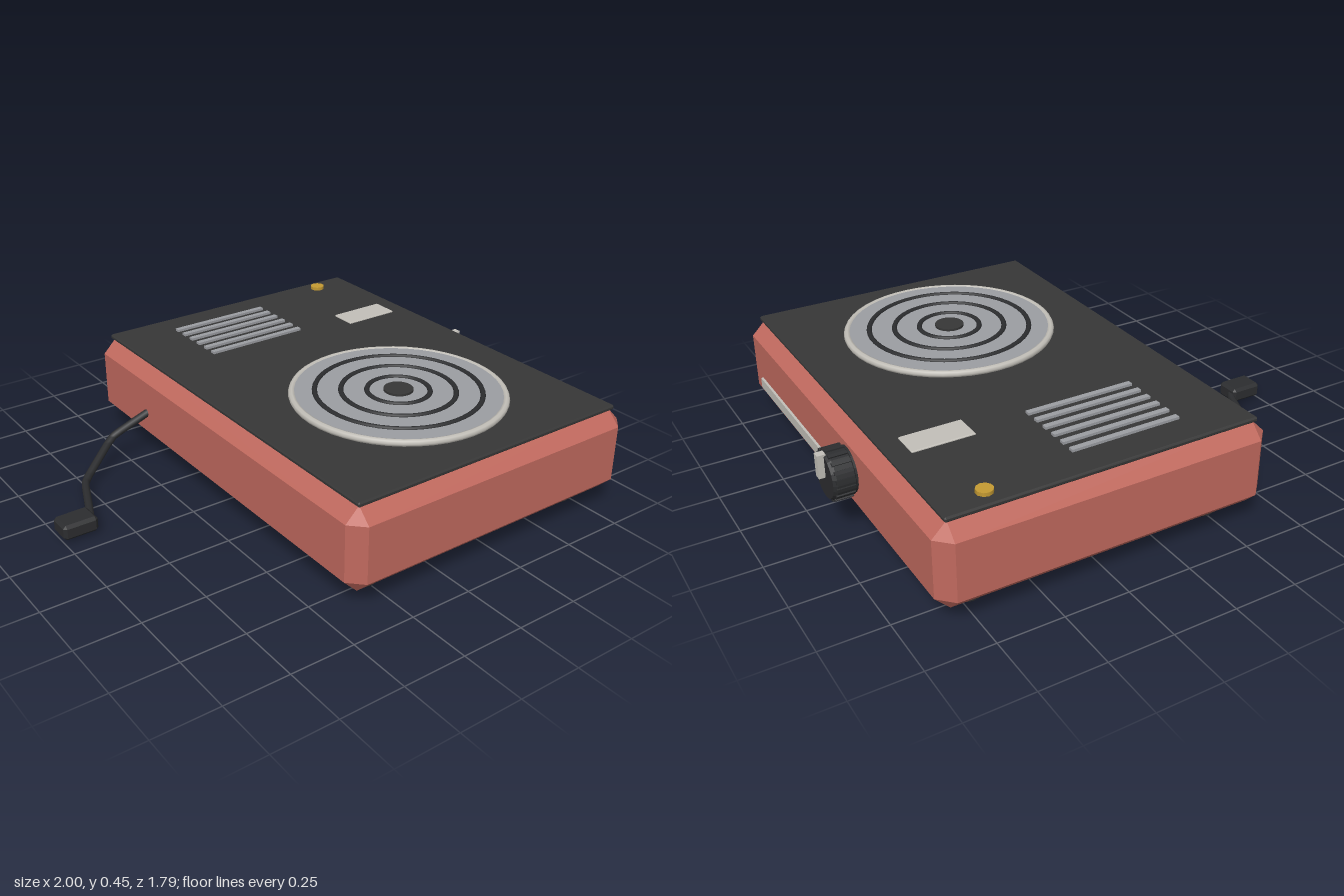
import * as THREE from 'three';
import { ConvexGeometry } from 'three/addons/geometries/ConvexGeometry.js';

const material = (name, color) => {
  const m = new THREE.MeshStandardMaterial({ color });
  m.name = name;
  return m;
};

// Box with every edge cut at 45 degrees
function chamferBox(w, h, d, c) {
  const half = [w / 2, h / 2, d / 2];
  const points = [];
  for (const sx of [-1, 1]) for (const sy of [-1, 1]) for (const sz of [-1, 1]) {
    for (let full = 0; full < 3; full++) {
      const p = half.map((v, i) => (i === full ? v : v - c));
      points.push(new THREE.Vector3(p[0] * sx, p[1] * sy, p[2] * sz));
    }
  }
  return new ConvexGeometry(points);
}

export function createModel() {
  const red = material('red enamel', 0xc0695e);
  const black = material('black glass', 0x363636);
  const rubber = material('dark rubber', 0x2c2d2f);
  const silver = material('pale silver', 0xc2bfb8);
  const grey = material('grey metal', 0x9b9da2);
  const gold = material('gold', 0xc49a32);

  const model = new THREE.Group();
  model.name = 'hotPlate';
  const add = (name, geometry, mat, x, y, z, parent = model) => {
    const mesh = new THREE.Mesh(geometry, mat);
    mesh.name = name;
    mesh.position.set(x, y, z);
    parent.add(mesh);
    return mesh;
  };
  const cx = 0.232;

  // Housing and top plate
  add('body', chamferBox(1.304, 0.334, 1.79, 0.055), red, cx, 0.229, 0);
  add('topPlate', chamferBox(1.22, 0.02, 1.71, 0.006), black, cx, 0.405, 0);

  // Feet
  for (const x of [-0.252, 0.716]) for (const z of [-0.728, 0.728]) {
    const profile = [[0, 0], [0.05, 0], [0.058, 0.008], [0.058, 0.066]];
    add('foot', new THREE.LatheGeometry(profile.map(p => new THREE.Vector2(...p)), 16), rubber, x, 0, z);
  }

  // Cooking plate: disc, rim and concentric rings
  const hob = new THREE.Group();
  hob.name = 'cookingPlate';
  hob.position.set(cx, 0, 0.323);
  model.add(hob);
  add('disc', new THREE.CylinderGeometry(0.405, 0.405, 0.027, 48), grey, 0, 0.4265, 0, hob);
  const ring = (name, radius, tube, mat, y) => {
    add(name, new THREE.TorusGeometry(radius, tube, 8, 48), mat, 0, y, 0, hob).rotation.x = -Math.PI / 2;
  };
  ring('rim', 0.406, 0.014, silver, 0.43);
  for (const r of [0.12, 0.219, 0.319]) ring('grooveRing', r, 0.011, rubber, 0.438);
  add('centreCap', new THREE.CylinderGeometry(0.057, 0.057, 0.012, 24), black, 0, 0.443, 0, hob);

  // Vent slats, label and indicator lamp on the top
  for (let i = 0; i < 6; i++) {
    add('ventSlat', new THREE.BoxGeometry(0.438, 0.012, 0.022), grey, 0.088, 0.419, -0.716 + i * 0.0576);
  }
  add('label', chamferBox(0.24, 0.01, 0.112, 0.003), silver, 0.645, 0.416, -0.404);
  add('indicatorLamp', new THREE.CylinderGeometry(0.031, 0.031, 0.016, 10), gold, 0.668, 0.421, -0.785);

  // Trim strip on the left side
  add('sideStrip', new THREE.BoxGeometry(0.012, 0.043, 0.88), silver, 0.888, 0.159, 0.323);

  // Control knob with grip ridges and pointer, built along its own axis
  const knob = new THREE.Group();
  knob.name = 'controlKnob';
  knob.position.set(0.882, 0.239, -0.172);
  knob.rotation.z = -Math.PI / 2;
  model.add(knob);
  const knobProfile = [[0, 0], [0.088, 0], [0.088, 0.01], [0.093, 0.014], [0.093, 0.08], [0.085, 0.094], [0, 0.094]];
  const knobGeometry = new THREE.LatheGeometry(knobProfile.map(p => new THREE.Vector2(...p)), 24).toNonIndexed();
  knobGeometry.computeVertexNormals();
  add('knobBody', knobGeometry, rubber, 0, 0, 0, knob);
  for (let i = 0; i < 18; i++) {
    const a = (i / 18) * Math.PI * 2;
    add('gripRidge', new THREE.BoxGeometry(0.012, 0.07, 0.014), rubber,
      Math.cos(a) * 0.092, 0.05, Math.sin(a) * 0.092, knob).rotation.y = -a;
  }
  add('pointer', new THREE.BoxGeometry(0.092, 0.032, 0.03), silver, -0.046, 0.102, 0, knob);

  // Power cord and plug
  const route = [[-0.38, 0.22, -0.48], [-0.42, 0.2, -0.49], [-0.53, 0.135, -0.525], [-0.56, 0.118, -0.53],
    [-0.6, 0.098, -0.51], [-0.735, 0.042, -0.415], [-0.76, 0.034, -0.39], [-0.775, 0.034, -0.36],
    [-0.855, 0.036, -0.16], [-0.88, 0.04, -0.13]];
  const cordPath = new THREE.CurvePath();
  for (let i = 1; i < route.length; i++) {
    cordPath.add(new THREE.LineCurve3(new THREE.Vector3(...route[i - 1]), new THREE.Vector3(...route[i])));
  }
  add('powerCord', new THREE.TubeGeometry(cordPath, 40, 0.016, 8), rubber, 0, 0, 0);
  add('plug', chamferBox(0.14, 0.062, 0.102, 0.012), rubber, -0.93, 0.041, -0.124);

  return model;
}
